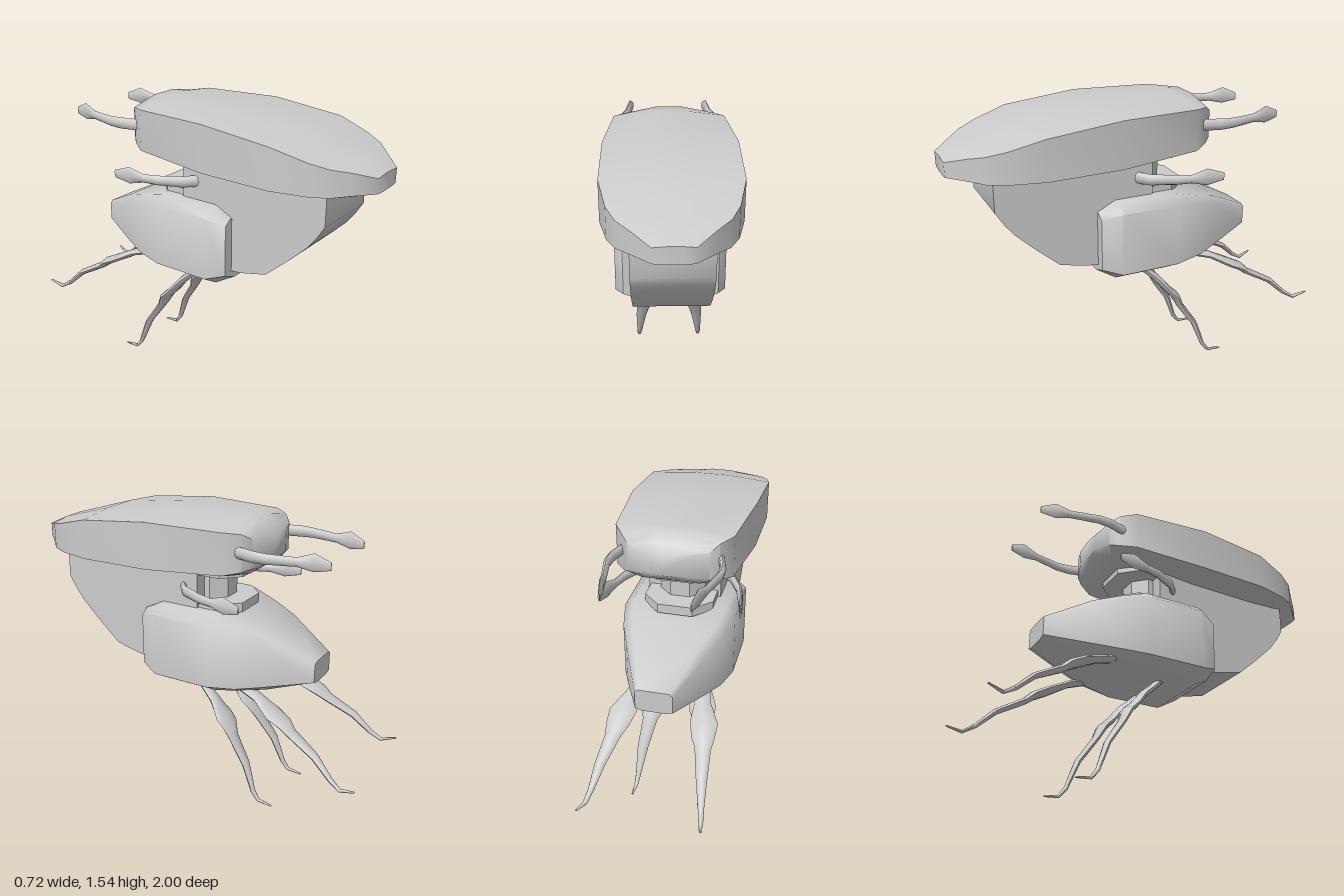
import * as THREE from 'three';
import { toCreasedNormals } from 'three/addons/utils/BufferGeometryUtils.js';

const material = new THREE.MeshStandardMaterial({ color: 0xcccccc });

function addMesh(parent, name, geometry, crease = 0.75) {
  const mesh = new THREE.Mesh(toCreasedNormals(geometry, crease), material);
  mesh.name = name;
  parent.add(mesh);
  return mesh;
}

// Skins a list of equal-length rings (arrays of Vector3) and caps both ends
function skin(rings) {
  const n = rings[0].length, pos = [], index = [];
  rings.forEach(r => r.forEach(p => pos.push(p.x, p.y, p.z)));
  for (let i = 0; i < rings.length - 1; i++) {
    for (let j = 0; j < n; j++) {
      const a = i * n + j, b = i * n + (j + 1) % n;
      index.push(a, a + n, b, b, a + n, b + n);
    }
  }
  const last = (rings.length - 1) * n;
  for (let j = 1; j < n - 1; j++) {
    index.push(0, j, j + 1);
    index.push(last, last + j + 1, last + j);
  }
  const g = new THREE.BufferGeometry();
  g.setAttribute('position', new THREE.Float32BufferAttribute(pos, 3));
  g.setIndex(index);
  return g;
}

// Shell lofted from front to back; each section is
// [z, half width, bottom, side bottom, side top, top], with flat fractions
function shell(sections, bottomFlat, topFlat) {
  return skin(sections.map(([z, w, b, sb, st, t]) => {
    const half = [[w * bottomFlat, b], [w, sb], [w, st], [w * topFlat, t]];
    const ring = half.map(([x, y]) => new THREE.Vector3(x, y, z));
    half.reverse().forEach(([x, y]) => ring.push(new THREE.Vector3(-x, y, z)));
    return ring;
  }));
}

// Flattened limb along points [x, y, z, half width, half thickness]
function limb(points, wide, side) {
  const centres = points.map(p => new THREE.Vector3(p[0] * side, p[1], p[2]));
  return skin(points.map((p, i) => {
    const dir = centres[Math.min(i + 1, centres.length - 1)].clone()
      .sub(centres[Math.max(i - 1, 0)]).normalize();
    const thin = wide.clone().cross(dir).normalize();
    return Array.from({ length: 8 }, (_, k) => {
      const a = k * Math.PI / 4;
      return centres[i].clone()
        .addScaledVector(wide, Math.cos(a) * p[3])
        .addScaledVector(thin, Math.sin(a) * p[4]);
    });
  }));
}

function extrude(points, depth) {
  const shape = new THREE.Shape(points.map(p => new THREE.Vector2(...p)));
  return new THREE.ExtrudeGeometry(shape, { depth, bevelEnabled: false });
}

// Horizontal plate with cut rear corners
function plate(w, zFront, zBack, cut, y, h) {
  const g = extrude([[-w, -zFront], [w, -zFront], [w, -zBack - cut],
    [w - cut, -zBack], [cut - w, -zBack], [-w, -zBack - cut]], h);
  return g.rotateX(-Math.PI / 2).translate(0, y, 0);
}

export function createModel() {
  const model = new THREE.Group();
  model.name = 'creature';

  // Broad flat shell on top
  addMesh(model, 'upperShell', shell([
    [1.00, 0.095, 1.275, 1.28, 1.355, 1.36],
    [0.91, 0.18, 1.255, 1.275, 1.385, 1.40],
    [0.84, 0.25, 1.248, 1.27, 1.405, 1.42],
    [0.75, 0.295, 1.243, 1.27, 1.43, 1.447],
    [0.57, 0.335, 1.24, 1.27, 1.48, 1.50],
    [0.18, 0.335, 1.243, 1.275, 1.52, 1.54],
    [-0.24, 0.295, 1.27, 1.30, 1.515, 1.54],
    [-0.32, 0.24, 1.285, 1.315, 1.505, 1.54],
    [-0.36, 0.20, 1.315, 1.33, 1.475, 1.495],
    [-0.395, 0.095, 1.345, 1.35, 1.445, 1.455],
  ], 0.6, 0.3), 0.9);

  // Flat-sided middle section with a rounded front
  addMesh(model, 'middleBody', extrude([
    [-0.04, 1.27], [-0.04, 0.85], [0.10, 0.73], [0.27, 0.72], [0.33, 0.725],
    [0.48, 0.76], [0.60, 0.865], [0.71, 0.97], [0.76, 1.035], [0.80, 1.10],
    [0.80, 1.27],
  ].reverse(), 0.39).translate(0, 0, -0.195).rotateY(-Math.PI / 2));

  // Tapering lower body
  addMesh(model, 'lowerBody', shell([
    [0.27, 0.25, 0.675, 0.71, 0.985, 1.015],
    [0.17, 0.295, 0.62, 0.68, 1.02, 1.065],
    [-0.15, 0.295, 0.62, 0.68, 1.015, 1.065],
    [-0.30, 0.26, 0.643, 0.69, 0.98, 1.02],
    [-0.43, 0.205, 0.67, 0.71, 0.94, 0.98],
    [-0.67, 0.095, 0.74, 0.75, 0.845, 0.86],
  ], 0.65, 0.83), 0.9);

  // Spool-shaped neck joining shell and lower body
  const neck = new THREE.Group();
  neck.name = 'neck';
  model.add(neck);
  addMesh(neck, 'neckTopPlate', plate(0.18, 0, -0.25, 0.09, 1.24, 0.035));
  addMesh(neck, 'neckPost', plate(0.12, 0, -0.14, 0.07, 1.06, 0.2));
  addMesh(neck, 'neckBottomPlate', plate(0.18, 0, -0.25, 0.09, 1.05, 0.05));

  const X = new THREE.Vector3(1, 0, 0), Y = new THREE.Vector3(0, 1, 0);
  const limbs = {
    // Feelers on the rear of the shell
    upperFeeler: [Y, [
      [0.24, 1.415, -0.28, 0.03, 0.016], [0.27, 1.415, -0.39, 0.03, 0.016],
      [0.273, 1.415, -0.46, 0.027, 0.016], [0.238, 1.415, -0.61, 0.023, 0.014],
      [0.222, 1.42, -0.69, 0.045, 0.010], [0.207, 1.41, -0.77, 0.02, 0.004]]],
    // Feelers on the flanks of the middle body
    sideFeeler: [Y, [
      [0.17, 1.165, 0.06, 0.032, 0.016], [0.245, 1.165, 0.0, 0.03, 0.016],
      [0.305, 1.165, -0.12, 0.026, 0.016], [0.325, 1.165, -0.20, 0.023, 0.014],
      [0.343, 1.17, -0.28, 0.045, 0.010], [0.356, 1.165, -0.37, 0.02, 0.004]]],
    frontLeg: [X, [
      [0.11, 0.66, 0.03, 0.03, 0.018], [0.115, 0.585, -0.045, 0.033, 0.018],
      [0.125, 0.53, -0.105, 0.038, 0.02], [0.135, 0.45, -0.17, 0.075, 0.02],
      [0.14, 0.41, -0.21, 0.07, 0.022], [0.15, 0.345, -0.24, 0.042, 0.018],
      [0.17, 0.21, -0.33, 0.03, 0.016], [0.184, 0.06, -0.385, 0.015, 0.012],
      [0.187, 0.015, -0.42, 0.011, 0.009], [0.187, 0.005, -0.50, 0.006, 0.004]]],
    rearLeg: [X, [
      [0.16, 0.68, -0.26, 0.035, 0.018], [0.185, 0.64, -0.40, 0.042, 0.018],
      [0.215, 0.59, -0.50, 0.072, 0.02], [0.225, 0.55, -0.58, 0.06, 0.022],
      [0.235, 0.515, -0.62, 0.042, 0.018], [0.262, 0.435, -0.765, 0.028, 0.016],
      [0.282, 0.345, -0.86, 0.016, 0.012], [0.295, 0.307, -0.92, 0.012, 0.009],
      [0.31, 0.33, -1.0, 0.006, 0.004]]],
  };
  for (const [name, [wide, points]] of Object.entries(limbs)) {
    for (const side of [1, -1]) {
      addMesh(model, (side > 0 ? 'left ' : 'right ') + name, limb(points, wide, side), 1.0);
    }
  }
  return model;
}
